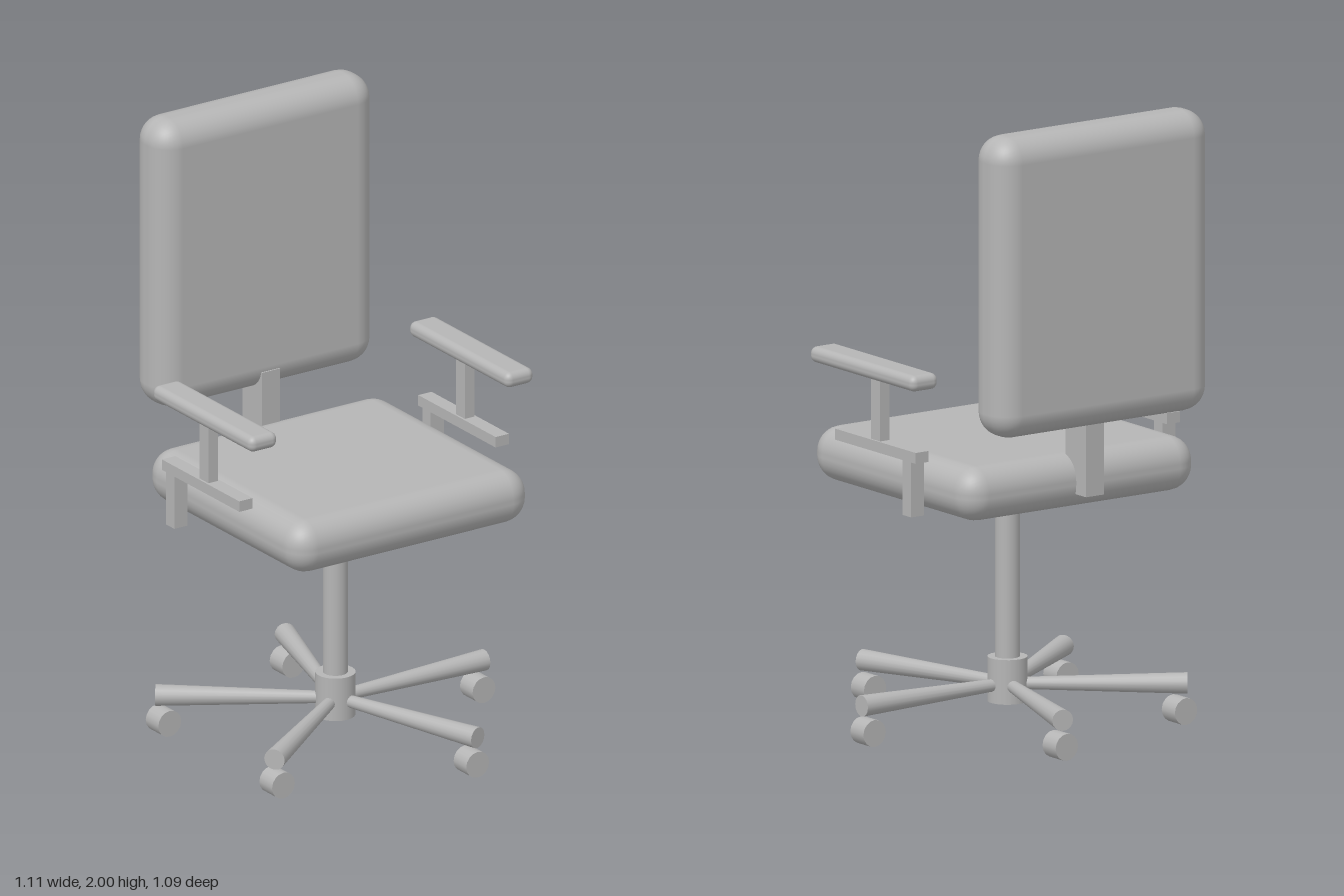
import * as THREE from 'three';
import { RoundedBoxGeometry } from 'three/addons/geometries/RoundedBoxGeometry.js';

const CX = -0.024; // chair axis; the five-star base reaches further on one side

export function createModel() {
  const chair = new THREE.Group();
  chair.name = 'officeChair';
  const grey = new THREE.MeshStandardMaterial({ color: 0xb5b5b5 });
  grey.name = 'grey';

  const add = (name, geometry, parent = chair) => {
    const mesh = new THREE.Mesh(geometry, grey);
    mesh.name = name;
    parent.add(mesh);
    return mesh;
  };
  // Box from its limits; a radius makes it a rounded cushion
  const block = (name, [x0, x1], [y0, y1], [z0, z1], radius = 0, parent = chair) => {
    const size = [x1 - x0, y1 - y0, z1 - z0];
    const geometry = radius
      ? new RoundedBoxGeometry(...size, 4, radius)
      : new THREE.BoxGeometry(...size);
    const mesh = add(name, geometry, parent);
    mesh.position.set((x0 + x1) / 2, (y0 + y1) / 2, (z0 + z1) / 2);
    return mesh;
  };

  // Cushions and the post joining them
  block('seat', [-0.47, 0.423], [0.758, 0.932], [-0.412, 0.446], 0.08);
  block('backrest', [-0.432, 0.386], [1.04, 2], [-0.538, -0.359], 0.08);
  block('backPost', [-0.058, 0.01], [0.81, 1.105], [-0.464, -0.356]);

  // Armrests, the same on both sides of the chair axis
  for (const side of [1, -1]) {
    const armrest = new THREE.Group();
    armrest.name = side > 0 ? 'leftArmrest' : 'rightArmrest';
    armrest.position.x = CX + side * 0.482;
    chair.add(armrest);
    block('armPad', [-0.052, 0.052], [1.165, 1.216], [-0.234, 0.319], 0.022, armrest);
    block('armPost', [-0.018, 0.018], [0.965, 1.175], [-0.016, 0.034], 0, armrest);
    block('armRail', [-0.025, 0.025], [0.933, 0.968], [-0.214, 0.214], 0, armrest);
    block('armBracket', [-0.025, 0.025], [0.758, 0.935], [-0.19, -0.145], 0, armrest);
  }

  // Column and hub
  add('column', new THREE.CylinderGeometry(0.039, 0.039, 0.62, 24)).position.set(CX, 0.46, 0);
  add('hub', new THREE.CylinderGeometry(0.063, 0.063, 0.142, 24)).position.set(CX, 0.145, 0);

  // Five spokes, flaring outwards, each over a wheel whose axle runs along z
  const spokeGeometry = new THREE.CylinderGeometry(0.018, 0.034, 0.56, 16);
  spokeGeometry.rotateZ(Math.PI / 2).translate(0.28, 0, 0);
  const wheelGeometry = new THREE.CylinderGeometry(0.043, 0.043, 0.07, 16).rotateX(Math.PI / 2);
  for (let i = 0; i < 5; i++) {
    const angle = (i / 5) * Math.PI * 2;
    const spoke = add('spoke', spokeGeometry);
    spoke.position.set(CX, 0.13, 0);
    spoke.rotation.y = -angle;
    add('wheel', wheelGeometry).position.set(
      CX + 0.535 * Math.cos(angle), 0.045, 0.535 * Math.sin(angle));
  }
  return chair;
}
